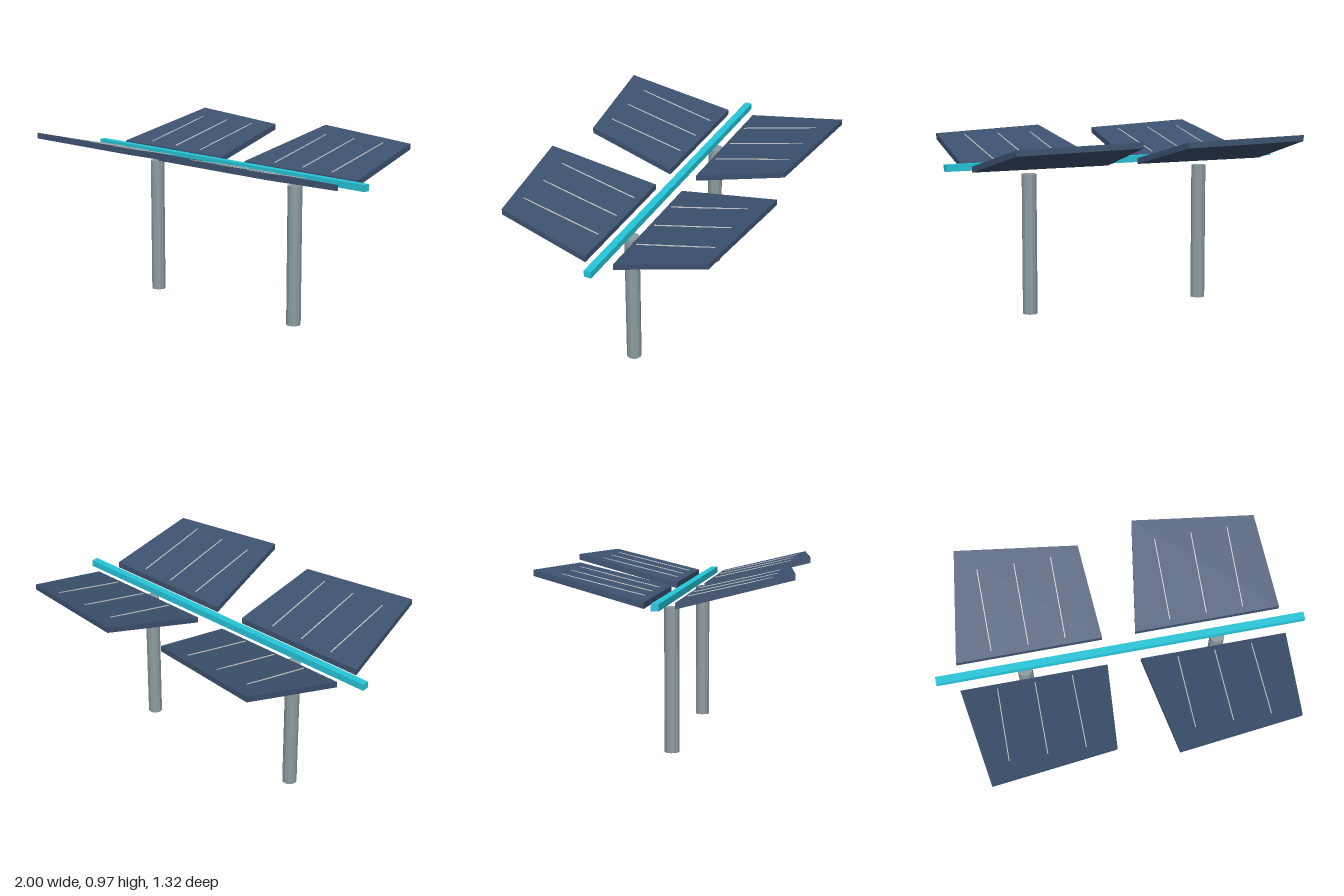
import * as THREE from 'three';

const paint = (color) => new THREE.MeshStandardMaterial({ color, flatShading: true });

// Panel outline as [x, distance from the beam], and its rise away from the beam
const OUTLINE = [[-0.395, 0.078], [-0.305, 0.66], [0.355, 0.578], [0.395, 0.078]];
const SLOPE = 0.249;
const THICKNESS = 0.032;
const BASE_Y = 0.795;

// Slab extruded upward, then sheared so its rims stay vertical
function panelGeometry(side) {
  const shape = new THREE.Shape(OUTLINE.map(([x, d]) => new THREE.Vector2(x, -side * d)));
  const geo = new THREE.ExtrudeGeometry(shape, { depth: THICKNESS, bevelEnabled: false });
  geo.rotateX(-Math.PI / 2);
  const pos = geo.attributes.position;
  for (let i = 0; i < pos.count; i++) {
    pos.setY(i, pos.getY(i) + BASE_Y + SLOPE * (Math.abs(pos.getZ(i)) - 0.078));
  }
  geo.computeVertexNormals();
  return geo;
}

export function createModel() {
  const model = new THREE.Group();
  model.name = 'solarCanopy';
  const navy = paint(0x3d5270);
  const cyan = paint(0x26c6da);
  const steel = paint(0x8c9ca1);
  const silver = paint(0xcccccc);

  const add = (parent, name, geo, mat, x = 0, y = 0, z = 0) => {
    const mesh = new THREE.Mesh(geo, mat);
    mesh.name = name;
    mesh.position.set(x, y, z);
    parent.add(mesh);
    return mesh;
  };

  // Long beam between the two panel rows
  add(model, 'beam', new THREE.BoxGeometry(2, 0.036, 0.04), cyan, 0, 0.817, 0);

  // Two posts below the beam
  const postGeo = new THREE.CylinderGeometry(0.04, 0.04, 0.764, 12);
  for (const x of [-0.525, 0.525]) add(model, 'post', postGeo, steel, x, 0.382, 0);

  // Four panels, each with three thin cell lines lying slightly flatter than the slab
  const lineGeo = new THREE.BoxGeometry(0.005, 0.004, 0.445);
  for (const side of [-1, 1]) {
    const slab = panelGeometry(side);
    for (const x of [-0.485, 0.485]) {
      const wing = new THREE.Group();
      wing.name = 'wing';
      wing.position.x = x;
      model.add(wing);
      add(wing, 'panel', slab, navy);
      for (const dx of [-0.2, 0, 0.2]) {
        const line = add(wing, 'cellLine', lineGeo, silver, dx, 0.8915, side * 0.325);
        line.rotation.x = -side * 0.232;
      }
    }
  }
  return model;
}
